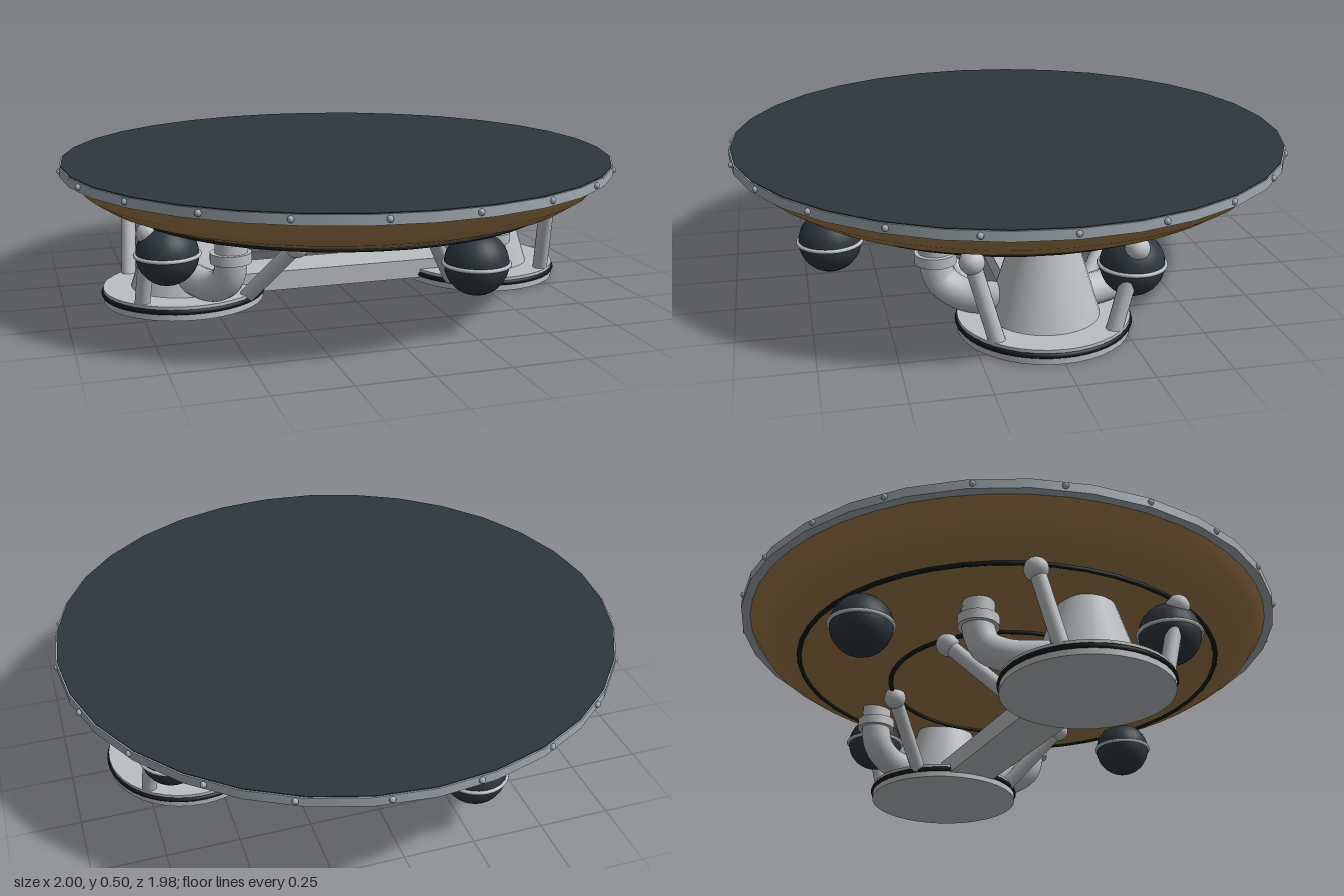
import * as THREE from 'three';

const mat = (name, color) => {
  const m = new THREE.MeshStandardMaterial({ color });
  m.name = name;
  return m;
};

export function createModel() {
  const slate = mat('dark slate', 0x2e373d);
  const bronze = mat('bronze', 0xa07a48);
  const steel = mat('rim steel', 0xa3abb1);
  const pale = mat('pale grey', 0xbcbfc2);
  const black = mat('black seal', 0x14181a);

  const model = new THREE.Group();
  model.name = 'discPlatform';
  const V = (x, y, z) => new THREE.Vector3(x, y, z);

  function add(name, geometry, material, x = 0, y = 0, z = 0, parent = model) {
    const mesh = new THREE.Mesh(geometry, material);
    mesh.name = name;
    mesh.position.set(x, y, z);
    parent.add(mesh);
    return mesh;
  }

  function rod(name, a, b, r, material) {
    const d = b.clone().sub(a);
    const mesh = add(name, new THREE.CylinderGeometry(r, r, d.length(), 16), material);
    mesh.position.copy(a).addScaledVector(d, 0.5);
    mesh.quaternion.setFromUnitVectors(V(0, 1, 0), d.normalize());
  }

  // Horizontal ring
  const ring = (r, tube, segments = 48) =>
    new THREE.TorusGeometry(r, tube, 8, segments).rotateX(Math.PI / 2);

  // Disc: flat deck, steel rim and shallow bowl underneath
  add('deck', new THREE.CylinderGeometry(0.985, 0.985, 0.004, 32), slate, 0, 0.498);
  add('rim', new THREE.CylinderGeometry(0.99, 0.99, 0.033, 32), steel, 0, 0.4805);
  const profile = [[0, 0.258], [0.2, 0.26], [0.44, 0.273], [0.62, 0.3], [0.77, 0.337],
    [0.86, 0.37], [0.92, 0.41], [0.958, 0.466]];
  add('bowl', new THREE.LatheGeometry(profile.map(p => new THREE.Vector2(...p)), 48), bronze);
  add('outerSeal', ring(0.77, 0.008), black, 0, 0.335);
  add('innerSeal', ring(0.432, 0.008), black, 0, 0.27);

  // Bolts around the rim
  const boltGeometry = new THREE.SphereGeometry(0.011, 8, 6);
  for (let i = 0; i < 22; i++) {
    const a = ((i + 0.5) / 22) * Math.PI * 2;
    add('rimBolt', boltGeometry, steel, Math.sin(a) * 0.988, 0.482, Math.cos(a) * 0.988);
  }

  // Four hanging orbs, a quarter turn apart
  for (let i = 0; i < 4; i++) {
    const orb = new THREE.Group();
    orb.name = 'orb';
    const a = Math.atan2(0.27, 0.67) + (i * Math.PI) / 2;
    orb.position.set(Math.sin(a) * 0.722, 0.235, Math.cos(a) * 0.722);
    add('orbBall', new THREE.SphereGeometry(0.106, 24, 16), slate, 0, 0, 0, orb);
    add('orbBand', ring(0.107, 0.007, 32), pale, 0, 0, 0, orb);
    model.add(orb);
  }

  // Bar joining the feet
  add('crossbar', new THREE.BoxGeometry(0.8, 0.07, 0.18), pale, 0, 0.053);

  for (const sx of [-1, 1]) {
    // Round foot with a seal and a tapered column
    add('footDisc', new THREE.CylinderGeometry(0.286, 0.286, 0.05, 40), pale, sx * 0.575, 0.025);
    add('footSeal', ring(0.283, 0.01), black, sx * 0.575, 0.03);
    add('column', new THREE.CylinderGeometry(0.105, 0.19, 0.27, 32), pale, sx * 0.575, 0.175);

    for (const sz of [-1, 1]) {
      // Struts with ball joints at the top
      const struts = [
        ['outerStrut', V(0.75, 0.04, 0.19), V(0.73, 0.31, 0.265)],
        ['innerStrut', V(0.385, 0.04, 0.19), V(0.245, 0.25, 0.35)],
      ];
      const side = V(sx, 1, sz);
      for (const [name, foot, top] of struts) {
        foot.multiply(side);
        top.multiply(side);
        rod(name, foot, top, 0.027, pale);
        add(name + 'Ball', new THREE.SphereGeometry(0.041, 16, 12), pale, top.x, top.y, top.z);
      }

      // Bent pipe from the bowl into the column, with a collar
      const path = [V(0.47, 0.3, 0.34), V(0.47, 0.21, 0.34), V(0.48, 0.145, 0.32),
        V(0.515, 0.108, 0.26), V(0.575, 0.105, 0.13)].map(p => p.multiply(side));
      const curve = new THREE.CatmullRomCurve3(path);
      add('pipe', new THREE.TubeGeometry(curve, 24, 0.055, 16), pale);
      add('pipeCollar', new THREE.CylinderGeometry(0.07, 0.07, 0.035, 24), pale,
        sx * 0.47, 0.228, sz * 0.34);
    }
  }
  return model;
}
